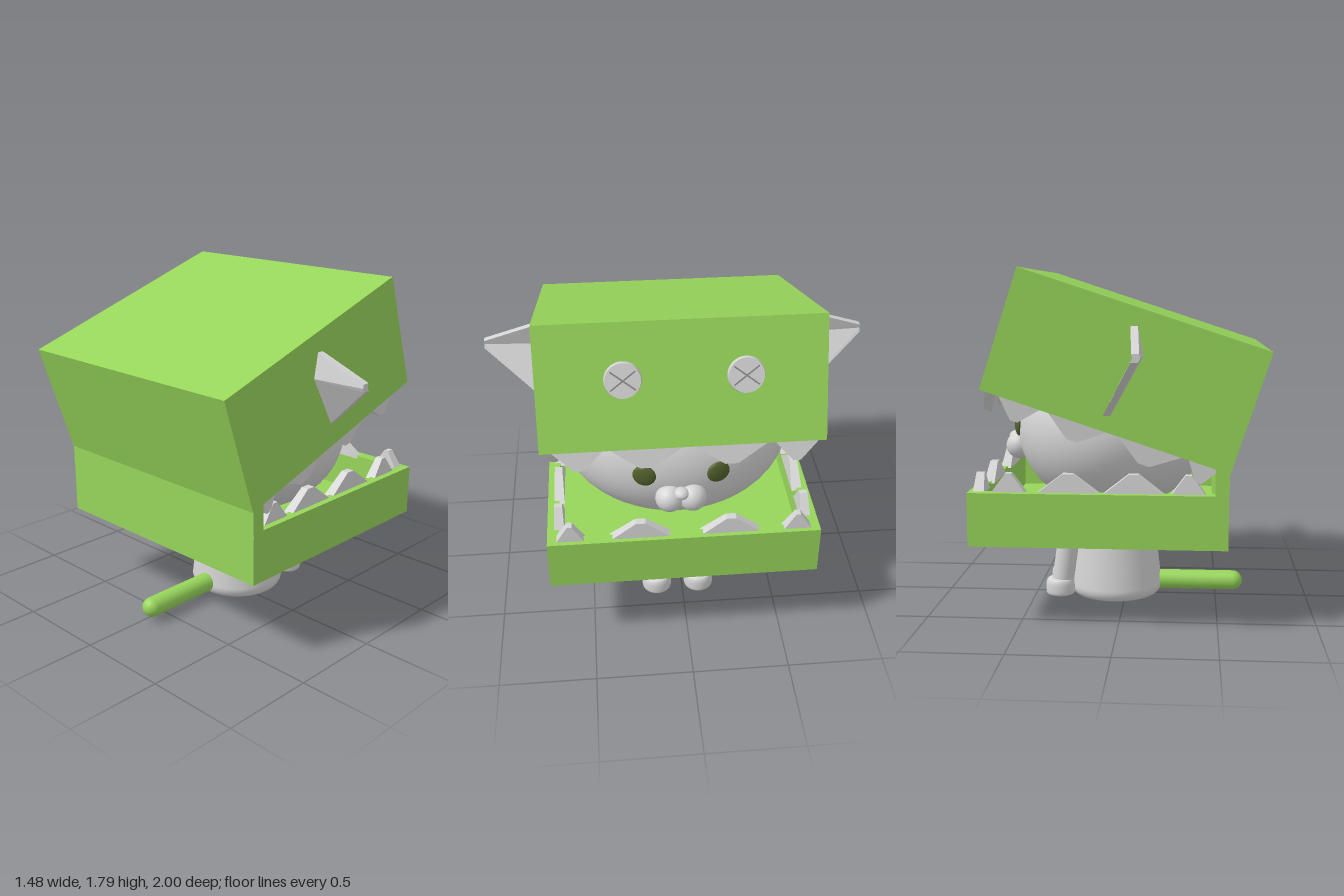
import * as THREE from 'three';

export function createModel() {
  const root = new THREE.Group();
  const mat = (name, color) => {
    const m = new THREE.MeshStandardMaterial({ color });
    m.name = name;
    return m;
  };
  const green = mat('boxGreen', 0x97d55a);
  const grey = mat('bodyGrey', 0xd4d4d4);
  const olive = mat('eyeOlive', 0x52612c);
  const stitch = mat('stitchGrey', 0x8a8a8a);

  const add = (parent, name, geo, material, x = 0, y = 0, z = 0) => {
    const m = new THREE.Mesh(geo, material);
    m.name = name;
    m.position.set(x, y, z);
    parent.add(m);
    return m;
  };
  const ZC = 0.02, W = 1.38, T = 0.06;

  // Hollow jaw: a plate with four walls; plateAtTop leaves the underside open
  const jaw = (parent, name, L, H, plateAtTop) => {
    const g = new THREE.Group();
    g.name = name;
    parent.add(g);
    const box = (n, w, h, d, x, y, z) => add(g, n, new THREE.BoxGeometry(w, h, d), green, x, y, z);
    const y = plateAtTop ? -T / 2 : T / 2;
    box('plate', L, T, W, L / 2, plateAtTop ? H - T / 2 : T / 2, 0);
    for (const s of [-1, 1]) {
      box('sideWall', L, H - T, T, L / 2, H / 2 + y, s * (W - T) / 2);
      box('endWall', T, H - T, W - 2 * T, s > 0 ? L - T / 2 : T / 2, H / 2 + y, 0);
    }
    return g;
  };

  // Tapered tooth with its root at y = 0; dir -1 points down
  const tooth = (parent, x, y, z, width, h, dir, alongZ) => {
    let g = new THREE.BoxGeometry(width, h + 0.01, 0.055);
    const p = g.attributes.position;
    for (let i = 0; i < p.count; i++) {
      if (p.getY(i) > 0) {
        p.setX(i, p.getX(i) * 0.16);
        p.setZ(i, p.getZ(i) * 0.75);
      }
    }
    g.translate(0, h / 2 - 0.005, 0);
    if (dir < 0) g.rotateX(Math.PI);
    if (alongZ) g.rotateY(Math.PI / 2);
    g = g.toNonIndexed();
    g.computeVertexNormals();
    add(parent, 'tooth', g, grey, x, y, z);
  };

  // Lower jaw, hinge panel and teeth
  const lower = jaw(root, 'lowerJaw', 1.285, 0.27, false);
  lower.position.set(-0.545, 0.425, ZC);
  add(root, 'hingePanel', new THREE.BoxGeometry(0.068, 0.15, W), green, -0.513, 0.76, ZC);
  const edge = W / 2 - 0.06;
  for (const [x, w] of [[-0.35, 0.18], [-0.08, 0.31], [0.245, 0.32], [0.54, 0.18]])
    for (const s of [-1, 1]) tooth(lower, x + 0.545, 0.27, s * edge, w, 0.093, 1, false);
  for (const [z, w] of [[-0.555, 0.15], [-0.215, 0.31], [0.24, 0.315], [0.595, 0.15]])
    tooth(lower, 1.235, 0.27, z - ZC, w, 0.085, 1, true);

  // Upper jaw, tilted open, with its teeth
  const L = 1.28, H = 0.617;
  const upper = jaw(root, 'upperJaw', L, H, true);
  upper.position.set(-0.55, 0.805, ZC);
  upper.rotation.z = 0.3177;
  for (const [u, w] of [[0.13, 0.18], [0.41, 0.37], [0.78, 0.34], [1.08, 0.24]])
    for (const s of [-1, 1]) tooth(upper, u, 0, s * edge, w, 0.1, -1, false);
  for (const [z, w] of [[-0.53, 0.24], [-0.21, 0.4], [0.2, 0.4], [0.53, 0.28]])
    tooth(upper, L - 0.05, 0, z - ZC, w, 0.105, -1, true);

  // Button eyes with crossed stitches on the upper jaw
  for (const z of [0.3, -0.28]) {
    const b = new THREE.Group();
    b.name = 'buttonEye';
    b.position.set(L, 0.343, z - ZC);
    upper.add(b);
    add(b, 'button', new THREE.CylinderGeometry(0.085, 0.09, 0.02, 32).rotateZ(-Math.PI / 2), grey, 0.01);
    for (const a of [0.65, -0.65])
      add(b, 'stitch', new THREE.BoxGeometry(0.004, 0.007, 0.15), stitch, 0.021).rotation.x = a;
  }

  // Folded spikes on both sides, lofted from a bent section to a small tip
  const section = (pts, z) => [
    ...pts.map(([x, y]) => [x + 0.018, y, z]),
    ...pts.slice().reverse().map(([x, y]) => [x - 0.018, y, z]),
  ];
  for (const s of [1, -1]) {
    const loops = [
      section([[0.052, 1.075], [-0.112, 1.37], [-0.085, 1.515]], 0.66 * s),
      section([[-0.105, 1.36], [-0.114, 1.38], [-0.11, 1.4]], s),
    ];
    const idx = [];
    const quad = (a, b, c, d) => idx.push(...(s > 0 ? [a, b, c, a, c, d] : [a, c, b, a, d, c]));
    for (let i = 0; i < 6; i++) {
      const j = (i + 1) % 6;
      quad(i, j, 6 + j, 6 + i);
    }
    quad(6, 7, 10, 11);
    quad(7, 8, 9, 10);
    let g = new THREE.BufferGeometry();
    g.setAttribute('position', new THREE.Float32BufferAttribute(loops.flat(2), 3));
    g.setIndex(idx);
    g = g.toNonIndexed();
    g.computeVertexNormals();
    add(root, s > 0 ? 'leftSpike' : 'rightSpike', g, grey);
  }

  // Head inside the jaws
  const head = new THREE.SphereGeometry(1, 48, 32).scale(0.52, 0.46, 0.615);
  add(root, 'head', head, grey, 0.07, 0.95, ZC);
  for (const s of [-1, 1]) {
    const eye = new THREE.SphereGeometry(1, 24, 16).scale(0.02, 0.06, 0.06);
    add(root, 'eye', eye, olive, 0.568, 0.97, 0.025 + s * 0.186).rotation.y = -s * 0.25;
    add(root, 'muzzle', new THREE.SphereGeometry(0.073, 24, 16), grey, 0.588, 0.837, 0.028 + s * 0.058);
  }
  add(root, 'nose', new THREE.SphereGeometry(1, 20, 12).scale(0.04, 0.03, 0.04), grey, 0.615, 0.882, 0.028);

  // Turned parts
  const lathe = (pts) => new THREE.LatheGeometry(
    new THREE.SplineCurve(pts.map(([x, y]) => new THREE.Vector2(x, y))).getPoints(30)
      .map((v) => new THREE.Vector2(Math.max(0, v.x), v.y)), 36);
  const body = lathe([[0.2, 0], [0.235, 0.01], [0.255, 0.045], [0.252, 0.1], [0.235, 0.25], [0.213, 0.44]]);
  add(root, 'body', body, grey, 0.058, 0, 0.025);
  add(root, 'bodyBase', new THREE.CircleGeometry(0.2, 36).rotateX(Math.PI / 2), grey, 0.058, 0, 0.025);

  // Front legs and feet
  for (const z of [0.143, -0.092]) {
    const leg = add(root, 'frontLeg', new THREE.CapsuleGeometry(0.06, 0.28, 8, 24), grey, 0.322, 0.25, z);
    leg.rotation.z = 0.14;
    const foot = lathe([[0.07, 0.015], [0.08, 0.025], [0.081, 0.06], [0.076, 0.09], [0.06, 0.106], [0, 0.112]]);
    add(root, 'foot', foot, grey, 0.358, 0, z);
    add(root, 'sole', new THREE.CircleGeometry(0.07, 36).rotateX(Math.PI / 2), grey, 0.358, 0.015, z);
  }

  // Tail
  add(root, 'tail', new THREE.CapsuleGeometry(0.053, 0.46, 8, 24).rotateZ(Math.PI / 2), green, -0.367, 0.073, 0.025);
  return root;
}
